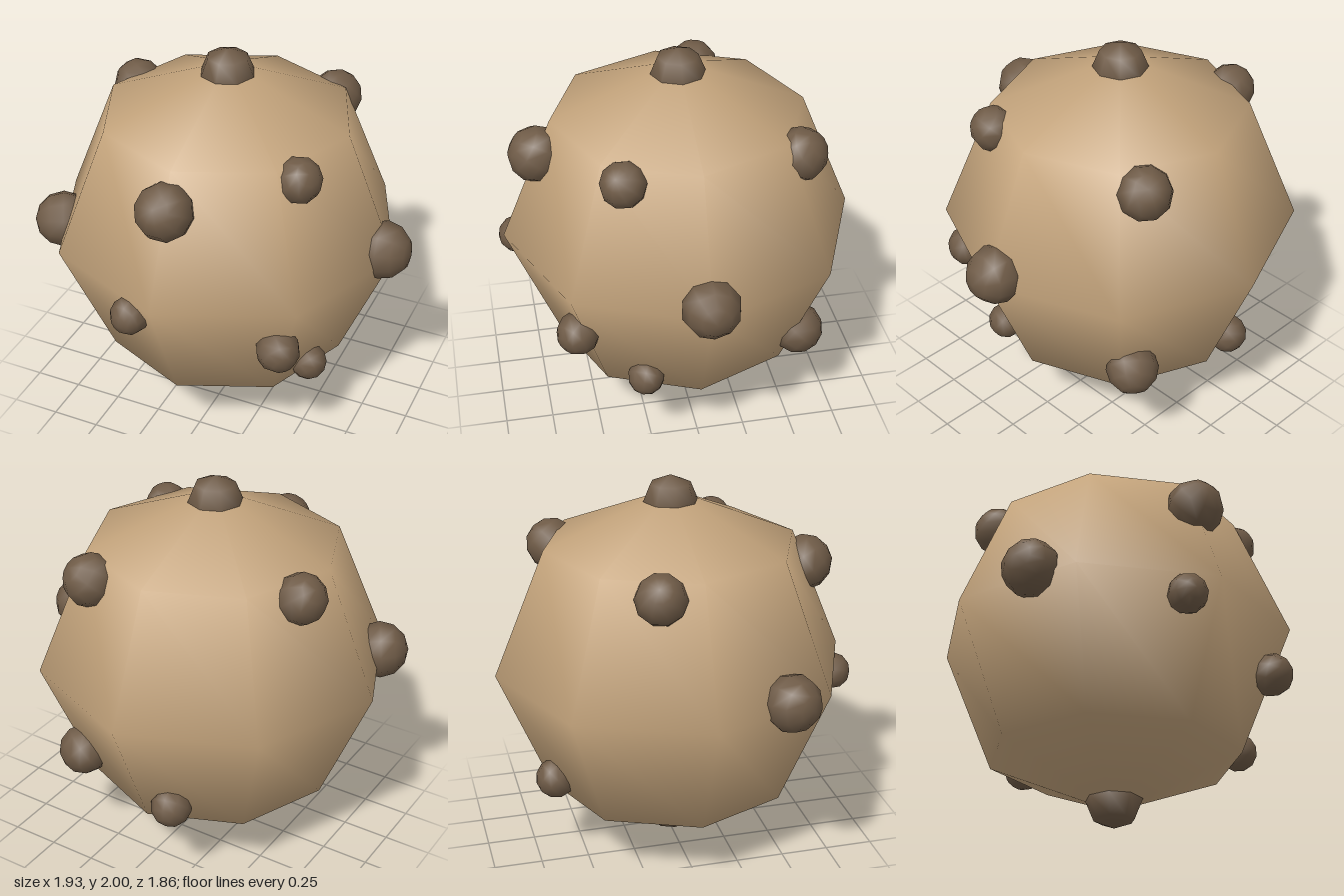
import * as THREE from 'three';

const CENTRE = new THREE.Vector3(-0.055, 1.007, 0);
const BODY_RADIUS = 0.92;

// Direction of each knob from the body centre, then its radius
const KNOBS = [
  [0, 0.465, 0.715, 0.147],
  [-0.145, -0.1, 0.83, 0.1],
  [0.535, -0.26, 0.6, 0.112],
  [0.535, 0.58, 0.365, 0.118],
  [0.59, -0.58, 0.28, 0.098],
  [0.45, -0.46, -0.54, 0.135],
  [-0.15, -0.54, -0.65, 0.105],
  [0.385, 0.56, -0.55, 0.138],
  [-0.605, 0.575, -0.2, 0.13],
  [-0.75, 0.04, 0.41, 0.147],
  [0.87, 0.04, 0, 0.15],
];
const KNOB_DISTANCE = 0.86;

export function createModel() {
  const model = new THREE.Group();
  model.name = 'knobbedBall';
  const tan = new THREE.MeshStandardMaterial({ color: 0xc4a47c });
  const brown = new THREE.MeshStandardMaterial({ color: 0x6f5b47 });

  const add = (name, geometry, material, offset) => {
    const mesh = new THREE.Mesh(geometry, material);
    mesh.name = name;
    mesh.position.copy(CENTRE).add(offset);
    model.add(mesh);
    return mesh;
  };

  // Coarse, smoothly shaded ball
  add('body', new THREE.SphereGeometry(BODY_RADIUS, 8, 4), tan, new THREE.Vector3());

  // Knobs at the two poles
  for (const side of [1, -1]) {
    add(side > 0 ? 'topKnob' : 'bottomKnob', new THREE.SphereGeometry(0.147, 8, 4), brown,
      new THREE.Vector3(0, side * KNOB_DISTANCE - (side > 0 ? 0.014 : 0), 0));
  }

  // Knobs scattered over the sides, each turned to point outward
  const up = new THREE.Vector3(0, 1, 0);
  KNOBS.forEach(([x, y, z, radius], i) => {
    const outward = new THREE.Vector3(x, y, z).normalize();
    const knob = add(`sideKnob${i + 1}`, new THREE.SphereGeometry(radius, 10, 6), brown,
      outward.clone().multiplyScalar(KNOB_DISTANCE));
    knob.quaternion.setFromUnitVectors(up, outward);
  });

  return model;
}
